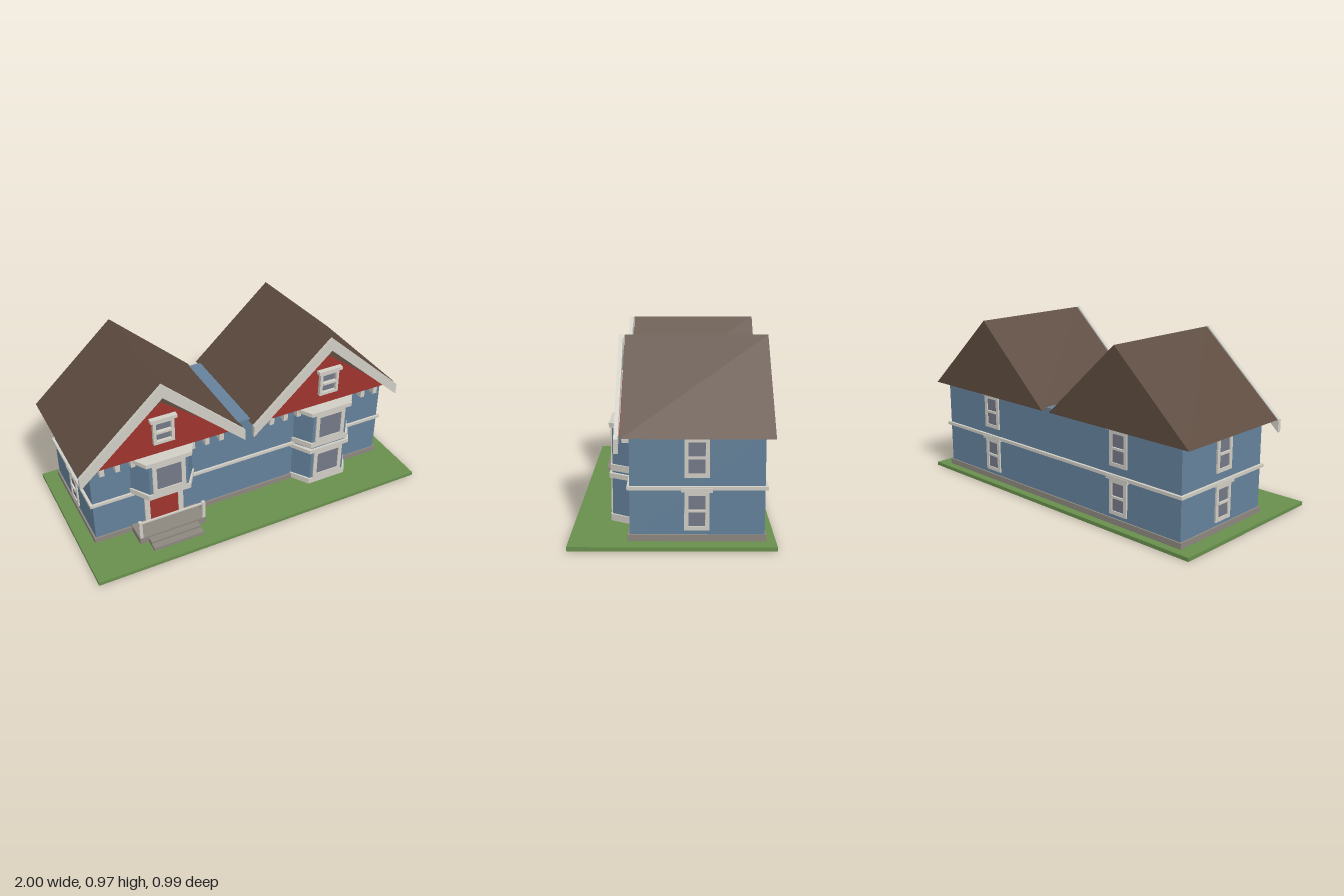
import * as THREE from 'three';

const material = (name, color) => {
  const m = new THREE.MeshStandardMaterial({ color });
  m.name = name;
  return m;
};

export function createModel() {
  const blue = material('blue siding', 0x64819a);
  const trim = material('pale trim', 0xd0cdc4);
  const red = material('red paint', 0x9e332c);
  const brown = material('brown roof', 0x5d4b3f);
  const stone = material('grey stone', 0x8c867e);
  const glass = material('grey glass', 0x747888);
  const green = material('green lawn', 0x688f4c);

  const model = new THREE.Group();
  model.name = 'duplexHouse';

  const add = (parent, name, geometry, mat) => {
    const mesh = new THREE.Mesh(geometry, mat);
    mesh.name = name;
    parent.add(mesh);
    return mesh;
  };
  // Box given by its low and high limits on each axis
  const box = (parent, name, mat, x0, x1, y0, y1, z0, z1) => {
    const mesh = add(parent, name, new THREE.BoxGeometry(x1 - x0, y1 - y0, z1 - z0), mat);
    mesh.position.set((x0 + x1) / 2, (y0 + y1) / 2, (z0 + z1) / 2);
    return mesh;
  };
  // Outline in x and y, extruded from z0 to z1
  const slab = (parent, name, mat, points, z0, z1) => {
    const shape = new THREE.Shape(points.map(([x, y]) => new THREE.Vector2(x, y)));
    const geometry = new THREE.ExtrudeGeometry(shape, { depth: z1 - z0, bevelEnabled: false });
    geometry.translate(0, 0, z0);
    return add(parent, name, geometry, mat);
  };
  // Trapezoid plan against the front wall, raised from y0 to y1
  const bayBlock = (parent, name, mat, back, front, z1, y0, y1) => {
    const shape = new THREE.Shape([[-back, -0.19], [back, -0.19], [front, -z1], [-front, -z1]]
      .map(([x, y]) => new THREE.Vector2(x, y)).reverse());
    const geometry = new THREE.ExtrudeGeometry(shape, { depth: y1 - y0, bevelEnabled: false });
    geometry.rotateX(-Math.PI / 2);
    geometry.translate(0, y0, 0);
    return add(parent, name, geometry, mat);
  };
  // Four-sided frame facing +z
  const frame = (parent, w, h, border, depth) => {
    const shape = new THREE.Shape();
    shape.moveTo(-w, -h).lineTo(w, -h).lineTo(w, h).lineTo(-w, h).closePath();
    const hole = new THREE.Path();
    const a = w - border, b = h - border;
    hole.moveTo(-a, -b).lineTo(-a, b).lineTo(a, b).lineTo(a, -b).closePath();
    shape.holes.push(hole);
    add(parent, 'windowFrame', new THREE.ExtrudeGeometry(shape, { depth, bevelEnabled: false }), trim);
    box(parent, 'windowPane', glass, -a, a, -b, b, 0, 0.004);
  };
  // Sash window with a header board and a middle rail
  const sashWindow = (parent, name, x, y, z, turn, w, h, border, depth) => {
    const g = new THREE.Group();
    g.name = name;
    g.position.set(x, y, z);
    g.rotation.y = turn;
    frame(g, w, h, border, depth);
    box(g, 'windowHeader', trim, -w - 0.015, w + 0.015, h - 0.002, h + 0.017, 0, depth + 0.009);
    box(g, 'windowRail', trim, -w + border, w - border, -0.006, 0.006, 0, depth + 0.004);
    parent.add(g);
  };

  // Lawn, foundation, walls and belt course
  box(model, 'lawn', green, -1, 1, 0, 0.02, -0.497, 0.497);
  box(model, 'foundation', stone, -0.917, 0.917, 0.02, 0.052, -0.452, 0.212);
  box(model, 'walls', blue, -0.907, 0.907, 0.03, 0.545, -0.443, 0.203);
  box(model, 'beltCourse', trim, -0.922, 0.922, 0.274, 0.291, -0.458, 0.216);

  // Gabled roofs with their front details
  for (const side of [-1, 1]) {
    const house = new THREE.Group();
    house.name = side < 0 ? 'rightHouseFront' : 'leftHouseFront';
    house.position.x = side * 0.502;
    model.add(house);

    slab(house, 'roof', brown, [[-0.475, 0.535], [0.475, 0.535], [0, 0.965]], -0.483, 0.241);
    slab(house, 'gableWall', red, [[-0.41, 0.538], [0.41, 0.538], [0, 0.848]], 0.235, 0.248);
    slab(house, 'bargeBoards', trim, [
      [-0.475, 0.465], [0, 0.892], [0.475, 0.465], [0.475, 0.533], [0, 0.967], [-0.475, 0.533],
    ], 0.25, 0.271);
    sashWindow(house, 'gableWindow', 0, 0.682, 0.246, 0, 0.06, 0.073, 0.017, 0.022);

    for (const x of [0.172, 0.258, 0.345]) {
      for (const s of [-1, 1]) {
        box(house, 'eaveBracket', trim, s * x - 0.013, s * x + 0.013, 0.488, 0.535, 0.2, 0.241);
      }
    }

    // Bay windows: one storey over the door, two storeys on the other house
    const bay = (name, y0, y1, sill0, sill1, cap0, cap1) => {
      const g = new THREE.Group();
      g.name = name;
      bayBlock(g, 'bayWall', blue, 0.19, 0.112, 0.304, y0, y1);
      bayBlock(g, 'baySill', trim, 0.198, 0.122, 0.312, sill0, sill1);
      bayBlock(g, 'bayCap', trim, 0.206, 0.13, 0.318, cap0, cap1);
      const win = new THREE.Group();
      win.name = 'bayWindow';
      win.position.set(0, (sill1 + cap0) / 2, 0.303);
      frame(win, 0.095, (cap0 - sill1) / 2, 0.024, 0.009);
      g.add(win);
      house.add(g);
    };
    bay('upperBay', 0.295, 0.53, 0.29, 0.322, 0.514, 0.538);
    if (side > 0) bay('lowerBay', 0.03, 0.285, 0.026, 0.061, 0.254, 0.278);
  }

  // Front door, porch, steps and railing
  const porch = new THREE.Group();
  porch.name = 'entrance';
  porch.position.x = -0.502;
  model.add(porch);
  box(porch, 'door', red, -0.085, 0.085, 0.055, 0.29, 0.2, 0.209);
  for (const s of [-1, 1]) {
    box(porch, 'doorJamb', trim, s * 0.1 - 0.015, s * 0.1 + 0.015, 0.055, 0.29, 0.2, 0.215);
    box(porch, 'railingPost', trim, s * 0.187 - 0.009, s * 0.187 + 0.009, 0.055, 0.171, 0.312, 0.331);
  }
  box(porch, 'railing', trim, -0.187, 0.187, 0.155, 0.164, 0.317, 0.326);
  box(porch, 'porchFloor', stone, -0.197, 0.197, 0.02, 0.061, 0.2, 0.332);
  box(porch, 'upperStep', stone, -0.148, 0.148, 0.02, 0.051, 0.33, 0.373);
  box(porch, 'lowerStep', stone, -0.148, 0.148, 0.02, 0.039, 0.37, 0.413);

  // Side and back windows on both storeys
  for (const y of [0.17, 0.43]) {
    for (const s of [-1, 1]) {
      sashWindow(model, 'sideWindow', s * 0.906, y, -0.118, s * Math.PI / 2, 0.06, 0.096, 0.02, 0.01);
      sashWindow(model, 'backWindow', s * 0.5, y, -0.442, Math.PI, 0.06, 0.096, 0.02, 0.01);
    }
  }
  return model;
}
